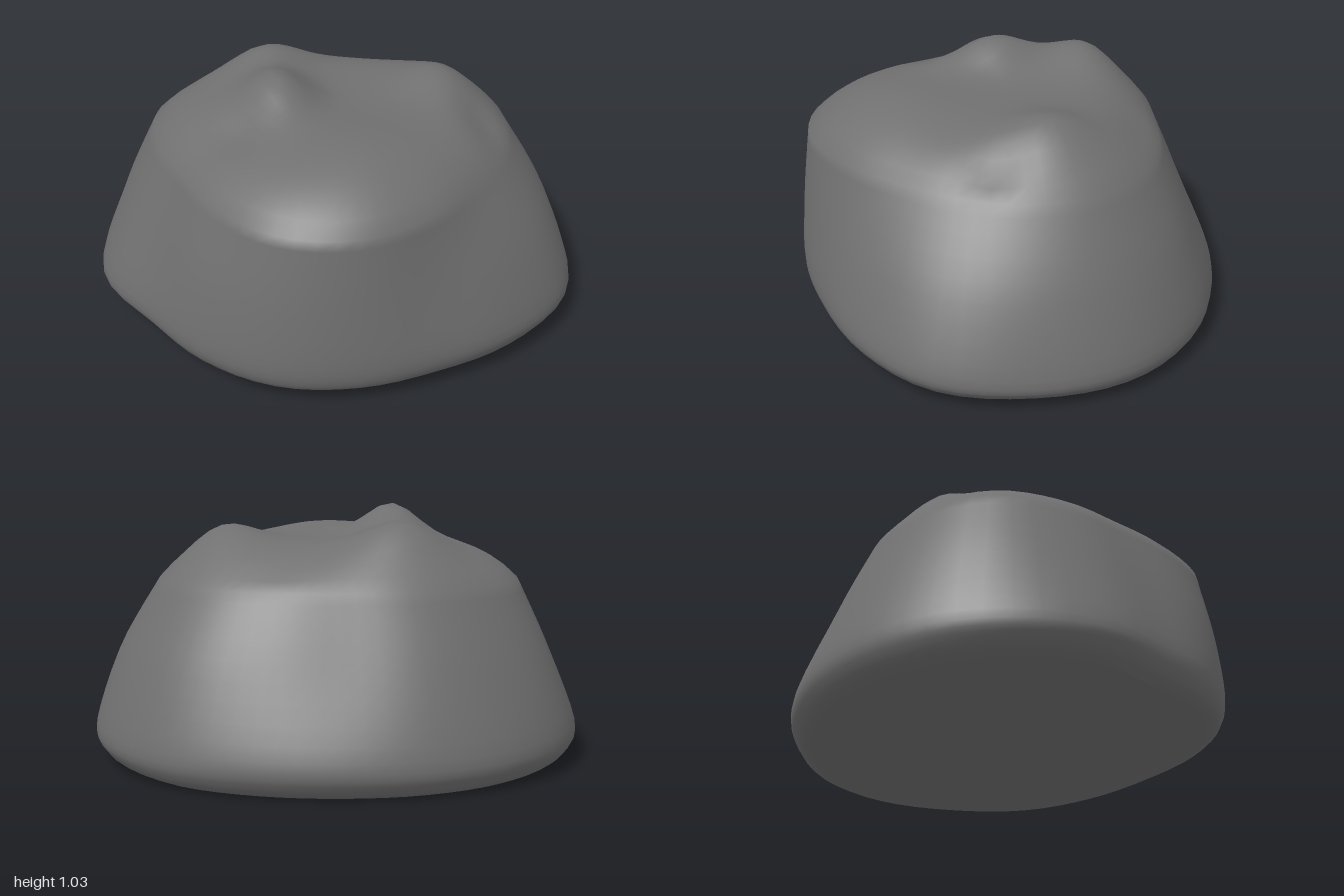
import * as THREE from 'three';

const SEG = 64;      // columns around the boulder
const WALL = 18;     // rows up the side
const CAP = 14;      // rows over the crown

// Radii every 22.5 degrees, from +x towards +z
const FOOT = [0.99, 0.995, 0.92, 0.86, 0.865, 0.885, 0.875, 0.885, 1.0, 1.015, 0.97, 0.91, 0.875, 0.89, 0.945, 0.985];
const WAIST = [0.88, 0.87, 0.83, 0.81, 0.845, 0.86, 0.83, 0.80, 0.87, 0.91, 0.86, 0.80, 0.74, 0.77, 0.84, 0.88];
const SHOULDER = [0.71, 0.68, 0.68, 0.74, 0.81, 0.81, 0.74, 0.70, 0.74, 0.78, 0.73, 0.67, 0.62, 0.64, 0.69, 0.73];

// Bumps and hollows of the crown: x, z, width in x, width in z, height
const BUMPS = [
  [-0.25, 0.02, 0.15, 0.22, 0.13],
  [-0.27, -0.38, 0.20, 0.16, 0.10],
  [0.46, -0.12, 0.17, 0.20, 0.08],
  [0.02, 0.45, 0.25, 0.28, 0.03],
  [0.62, 0.12, 0.10, 0.12, -0.07],
  [-0.42, 0.22, 0.12, 0.14, -0.04],
  [0.30, -0.58, 0.25, 0.15, -0.05],
];

// Smooth closed interpolation of a ring of radii
function ringRadius(ring, u) {
  const n = ring.length, f = u * n, i = Math.floor(f), t = f - i;
  const [a, b, c, d] = [-1, 0, 1, 2].map(k => ring[(i + k + n) % n]);
  return b + 0.5 * t * (c - a + t * (2 * a - 5 * b + 4 * c - d + t * (3 * (b - c) + d - a)));
}

const floorY = z => 0.03 + 0.025 * THREE.MathUtils.clamp(z / 0.8, -0.8, 1);

function crownHeight(x, z) {
  return BUMPS.reduce((h, [bx, bz, wx, wz, k]) =>
    h + k * Math.exp(-(((x - bx) / wx) ** 2) - ((z - bz) / wz) ** 2), 0.91);
}

function makeGeometry(positions, index) {
  const g = new THREE.BufferGeometry();
  g.setAttribute('position', new THREE.Float32BufferAttribute(positions, 3));
  g.setIndex(index);
  g.computeVertexNormals();
  return g;
}

export function createModel() {
  const stone = new THREE.MeshStandardMaterial({ color: 0x707070 });
  stone.name = 'grey stone';

  // Side profile and crown spoke for each column
  const columns = [];
  for (let j = 0; j < SEG; j++) {
    const u = j / SEG, a = u * Math.PI * 2, c = Math.cos(a), s = Math.sin(a);
    const foot = ringRadius(FOOT, u), waist = ringRadius(WAIST, u), top = ringRadius(SHOULDER, u);
    const y0 = floorY(foot * s);
    const profile = new THREE.SplineCurve([
      new THREE.Vector2(foot * 0.91, y0),
      new THREE.Vector2(foot * 0.975, y0 + 0.04),
      new THREE.Vector2(foot, 0.16 + 0.05 * Math.max(0, s)),
      new THREE.Vector2(waist, 0.47),
      new THREE.Vector2(top, 0.75),
    ]);
    const column = profile.getPoints(WALL).map(p => [p.x * c, p.y, p.x * s]);
    for (let k = 1; k < CAP; k++) {
      const t = 1 - k / CAP, x = top * t * c, z = top * t * s;
      column.push([x, 0.75 + (crownHeight(x, z) - 0.75) * (1 - t ** 5), z]);
    }
    columns.push(column);
  }

  // Side and crown in one smooth skin, closed with a single centre vertex
  const rows = columns[0].length, index = [];
  const positions = columns.flat(2);
  positions.push(0, crownHeight(0, 0), 0);
  for (let j = 0; j < SEG; j++) {
    const a = j * rows, b = ((j + 1) % SEG) * rows;
    for (let i = 0; i < rows - 1; i++) {
      index.push(a + i, a + i + 1, b + i, b + i, a + i + 1, b + i + 1);
    }
    index.push(a + rows - 1, SEG * rows, b + rows - 1);
  }
  const body = new THREE.Mesh(makeGeometry(positions, index), stone);
  body.name = 'boulderBody';

  // Flat underside with its own crisp edge
  const basePositions = [0, 0.025, 0, ...columns.flatMap(col => col[0])];
  const baseIndex = [];
  for (let j = 0; j < SEG; j++) baseIndex.push(0, j + 1, (j + 1) % SEG + 1);
  const underside = new THREE.Mesh(makeGeometry(basePositions, baseIndex), stone);
  underside.name = 'underside';

  const group = new THREE.Group();
  group.name = 'boulder';
  group.add(body, underside);
  return group;
}
